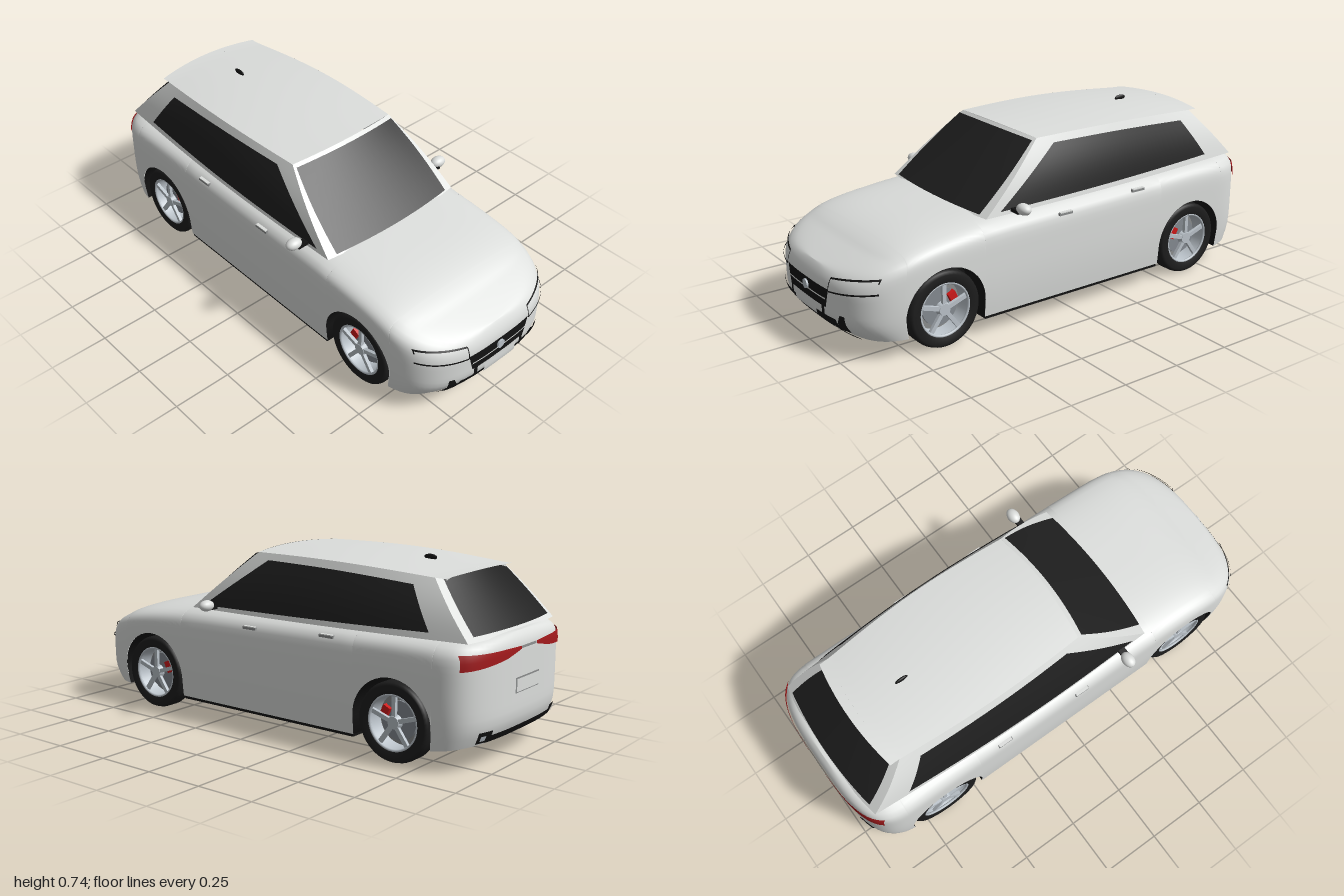
import * as THREE from 'three';
import { mergeVertices } from 'three/addons/utils/BufferGeometryUtils.js';

const mat = (name, color) => new THREE.MeshStandardMaterial({ name, color, side: THREE.DoubleSide });
const M = {
  paint: mat('paint', 0xdcdedc), glass: mat('glass', 0x1f1f1f), trim: mat('blackTrim', 0x131313),
  tyre: mat('tyre', 0x1d1d1d), silver: mat('silver', 0xbcc4cb), disc: mat('brakeDisc', 0x858b92),
  lamp: mat('tailLamp', 0xa31a1c), caliper: mat('caliper', 0xd01a1a), grey: mat('grey', 0x8c8e8e),
};
const { lerp, clamp } = THREE.MathUtils;
const FLOOR = 0.085, END = 0.995, ARCH = 0.176, AXLE_Y = 0.16, FRONT = 0.61, REAR = -0.645;

// Smooth surface from a rule: (u, v) -> [x, y, z]
function grid(fn, nu, nv) {
  const g = new THREE.PlaneGeometry(1, 1, nu, nv), p = g.attributes.position, uv = g.attributes.uv;
  for (let i = 0; i < p.count; i++) p.setXYZ(i, ...fn(uv.getX(i), uv.getY(i)));
  g.deleteAttribute('uv');
  g.deleteAttribute('normal');
  const merged = mergeVertices(g, 1e-5);
  merged.computeVertexNormals();
  return merged;
}

// Lower body: plan half width, centre-line height and width factor of the section
function planWidth(x) {
  if (x > 0.55) return 0.39 * Math.cbrt(Math.max(0, 1 - ((x - 0.55) / (END - 0.55)) ** 4.5));
  if (x < -0.7) return 0.39 * Math.cbrt(Math.max(0, 1 - ((-x - 0.7) / (END - 0.7)) ** 5));
  return 0.39;
}
function topY(x) {
  if (x > 0.35) {
    const d = (x - 0.35) / 0.645;
    return 0.485 - 0.06 * d - 0.09 * d ** 4;
  }
  return 0.485 + 0.022 * Math.min(1, 0.35 - x) - 0.1 * Math.max(0, -x - 0.9);
}
function sectionFactor(x, y) {
  const h = clamp((y - FLOOR) / (topY(x) - FLOOR), 0, 1);
  return Math.cbrt(1 - h ** 18) * (1 - 0.03 * Math.max(0, 1 - h / 0.5) ** 2);
}
const halfWidth = (x, y) => planWidth(x) * sectionFactor(x, y);

// Rake the nose and tail in towards the top and bottom
function rake(x, y) {
  const f = clamp((x - 0.6) / 0.395, 0, 1) ** 2, r = clamp((-x - 0.7) / 0.295, 0, 1) ** 2;
  const nose = 0.05 * clamp((y - 0.26) / 0.1, 0, 1.3) ** 2 + 0.06 * clamp((0.17 - y) / 0.085, 0, 1) ** 2;
  const tail = 0.03 * clamp((y - 0.44) / 0.06, 0, 1.2) ** 2 + 0.035 * clamp((0.2 - y) / 0.1, 0, 1.1) ** 2;
  return x - f * nose + r * tail;
}
// x of the nose (sign 1) or tail (sign -1) at a given z and y
function endX(sign, z, y) {
  let a = 0.3, b = END;
  for (let i = 0; i < 30; i++) {
    const m = (a + b) / 2;
    if (halfWidth(sign * m, y) > Math.abs(z)) a = m; else b = m;
  }
  return rake(sign * a, y);
}

// Stations [x, lower edge] from nose to tail, following the wheel arches
function makeStations() {
  const s = [], n = 16;
  for (let i = 0; i <= n; i++) s.push([0.79 + (END - 0.79) * Math.cos(Math.PI / 2 * i / n), FLOOR]);
  const arch = (cx) => {
    s.push([cx + ARCH, FLOOR]);
    for (let j = 0; j <= 24; j++) {
      const a = Math.PI * j / 24;
      s.push([cx + ARCH * Math.cos(a), AXLE_Y + ARCH * Math.sin(a)]);
    }
    s.push([cx - ARCH, FLOOR]);
  };
  arch(FRONT);
  for (let i = 1; i < 14; i++) s.push([lerp(FRONT - ARCH, REAR + ARCH, i / 14), FLOOR]);
  arch(REAR);
  for (let i = 0; i <= n; i++) {
    const t = Math.sin(Math.PI / 2 * i / n);
    s.push([-0.825 - (END - 0.825) * t, FLOOR + 0.025 * t]);
  }
  return s;
}

// Cabin side: u from rear to front, v from belt to roof, z on the left
function cabinSide(u, v) {
  const s = Math.sin(Math.PI * clamp(u, 0, 1));
  return [
    lerp(lerp(-0.93, 0.40, u), lerp(-0.74, 0.10, u), v),
    lerp(lerp(0.49, 0.47, u), lerp(0.70, 0.722, u) + 0.012 * s, v),
    lerp(lerp(0.325, 0.345, u) + 0.02 * s, lerp(0.25, 0.262, u) + 0.02 * s, v) + 0.01 * Math.sin(Math.PI * v),
  ];
}
function cabinZ(x, y) {
  let u = 0.5, v = 0.5;
  for (let i = 0; i < 8; i++) {
    const r = lerp(-0.93, -0.74, v), f = lerp(0.40, 0.10, v);
    u = clamp((x - r) / (f - r), 0, 1);
    const lo = cabinSide(u, 0)[1], hi = cabinSide(u, 1)[1];
    v = clamp((y - lo) / (hi - lo), 0, 1);
  }
  return cabinSide(u, v)[2];
}
// Screens bow outwards between the two side edges; w runs -1..1 across
function screen(u, w, v, bow, off = 0) {
  const [x, y, z] = cabinSide(u, v);
  return [x + bow * (1 - w * w) + Math.sign(bow) * off, y + off + 0.012 * v * (1 - w * w), z * w];
}
function roof(u, w) {
  const [x, y, z] = cabinSide(u, 1);
  return [x + lerp(-0.025, 0.02, clamp(u, 0, 1)) * (1 - w * w), y + 0.012 * (1 - w * w), z * w];
}
// Bilinear point in a quad of corners: top a, top b, bottom b, bottom a
const quad = (c, u, v) => [0, 1].map((k) => lerp(lerp(c[3][k], c[2][k], u), lerp(c[0][k], c[1][k], u), v));

export function createModel() {
  const car = new THREE.Group();
  car.name = 'car';
  const add = (name, geo, material, x = 0, y = 0, z = 0, parent = car) => {
    const m = new THREE.Mesh(geo, material);
    m.name = name;
    m.position.set(x, y, z);
    parent.add(m);
    return m;
  };
  const box = (w, h, d) => new THREE.BoxGeometry(w, h, d);

  // Body shell and dark underside with wheel wells
  const st = makeStations(), last = st.length - 1;
  add('bodyShell', grid((u, v) => {
    const [x, yb] = st[Math.round(v * last)], s = 1 - 2 * u, q = Math.abs(s), top = topY(x);
    const at = (f) => FLOOR + (top - FLOOR) * (1 - f ** 3) ** (1 / 18);
    let y, f;
    if (q <= 0.5) { f = q / 0.5 * 0.85; y = at(f); }
    else { y = lerp(at(0.85), yb, (q * 2 - 1) ** 1.3); f = sectionFactor(x, y); }
    return [rake(x, y), y, Math.sign(s) * f * planWidth(x)];
  }, 56, last), M.paint);
  add('underside', grid((u, v) => {
    const [x, yb] = st[Math.round(v * last)];
    return [rake(x, yb), yb, (2 * u - 1) * halfWidth(x, yb) * 0.995];
  }, 4, last), M.trim);
  add('chassis', box(1.68, 0.24, 0.55), M.trim, 0, 0.2, 0);
  add('sills', box(0.895, 0.018, 0.75), M.trim, -0.018, 0.082, 0);

  // Cabin
  for (const s of [1, -1]) {
    add('cabinSide', grid((u, v) => { const p = cabinSide(u, v); p[2] *= s; return p; }, 28, 8), M.paint);
    const pane = [[-0.665, 0.672], [0.03, 0.697], [0.335, 0.487], [-0.77, 0.513]];
    add('sideWindow', grid((u, v) => {
      const [x, y0] = quad(pane, u, v), y = y0 + 0.008 * v * Math.sin(Math.PI * u);
      return [x, y, s * (cabinZ(x, y) + 0.004)];
    }, 28, 8), M.glass);
  }
  add('roof', grid((u, v) => roof(lerp(-0.05, 1, u), 1 - 2 * v), 24, 16), M.paint);
  add('spoiler', box(0.06, 0.014, 0.44), M.paint, -0.74, 0.692, 0);
  add('windscreenFrame', grid((u, v) => screen(1, 1 - 2 * u, v, 0.025), 16, 8), M.paint);
  add('windscreen', grid((u, v) => {
    const k = lerp(0.02, 0.955, v);
    return screen(1, (1 - 2 * u) * lerp(0.88, 0.97, k), k, 0.025, 0.004);
  }, 16, 8), M.glass);
  add('tailgateFrame', grid((u, v) => screen(0, 2 * u - 1, v, -0.03), 16, 8), M.paint);
  add('rearWindow', grid((u, v) => screen(0, (2 * u - 1) * 0.88, lerp(0.07, 0.97, v), -0.03, 0.004), 16, 8), M.glass);
  const fin = add('antenna', new THREE.SphereGeometry(1, 12, 8), M.trim, -0.56, 0.732, 0);
  fin.scale.set(0.03, 0.012, 0.007);

  // Thin panels that follow the nose or tail; corners are [z, y]
  const panel = (name, material, sign, c, off = 0.005) => add(name, grid((u, v) => {
    const [z, y] = quad(c, u, v);
    return [endX(sign, z, y) + sign * off, y, z];
  }, 18, 4), material);
  const rect = (z0, z1, y0, y1) => [[z1, y1], [z0, y1], [z0, y0], [z1, y0]];

  // Nose
  panel('grille', M.trim, 1, [[0.167, 0.27], [-0.167, 0.27], [-0.145, 0.192], [0.145, 0.192]]);
  panel('grilleBar', M.paint, 1, rect(-0.15, 0.15, 0.225, 0.231), 0.008);
  panel('lowerIntake', M.trim, 1, [[0.2, 0.16], [-0.2, 0.16], [-0.21, 0.11], [0.21, 0.11]]);
  panel('frontLip', M.trim, 1, [[0.2, 0.113], [-0.2, 0.113], [-0.27, 0.083], [0.27, 0.083]], 0.007);
  panel('frontPlate', M.paint, 1, rect(-0.088, 0.088, 0.148, 0.196), 0.012);
  const badge = add('roundBadge', new THREE.CylinderGeometry(0.019, 0.019, 0.008, 24), M.silver, endX(1, 0, 0.24) + 0.008, 0.24, 0);
  badge.rotation.z = Math.PI / 2;

  // Tail
  panel('rearPlateFrame', M.grey, -1, rect(-0.09, 0.09, 0.272, 0.332));
  panel('rearPlate', M.paint, -1, rect(-0.085, 0.085, 0.277, 0.327), 0.008);
  panel('rearDiffuser', M.trim, -1, rect(-0.24, 0.24, 0.112, 0.14));
  panel('tailStrip', M.grey, -1, rect(-0.06, 0.06, 0.438, 0.448));

  for (const s of [1, -1]) {
    const side = (c) => c.map(([z, y]) => [z * s, y]);
    panel('headlampTopLine', M.trim, 1, side([[0.352, 0.344], [0.17, 0.318], [0.17, 0.312], [0.352, 0.337]]), 0.008);
    panel('headlampLowerLine', M.trim, 1, side([[0.355, 0.29], [0.17, 0.268], [0.17, 0.262], [0.355, 0.283]]), 0.008);
    panel('headlampInnerLine', M.trim, 1, side(rect(0.167, 0.171, 0.264, 0.316)), 0.008);
    panel('headlampOuterLine', M.trim, 1, side(rect(0.349, 0.352, 0.325, 0.34)), 0.008);
    panel('grilleTab', M.trim, 1, side(rect(0.12, 0.138, 0.145, 0.222)), 0.007);
    panel('airVent', M.trim, 1, side([[0.25, 0.184], [0.228, 0.184], [0.2, 0.115], [0.257, 0.115]]), 0.008);
    panel('tailLamp', M.lamp, -1, side([[0.358, 0.452], [0.16, 0.452], [0.16, 0.415], [0.362, 0.392]]), 0.007);
    panel('tailLampTip', M.lamp, -1, side([[0.16, 0.452], [0.06, 0.449], [0.06, 0.437], [0.16, 0.415]]), 0.007);
    panel('rearVent', M.trim, -1, side(rect(0.22, 0.29, 0.115, 0.16)), 0.006);
    panel('rearReflector', M.silver, -1, side(rect(0.255, 0.28, 0.125, 0.145)), 0.01);

    // Mirrors and door handles
    const mirror = add('doorMirror', new THREE.SphereGeometry(1, 20, 14), M.paint, 0.265, 0.5, s * 0.403);
    mirror.scale.set(0.026, 0.023, 0.036);
    add('mirrorStalk', box(0.03, 0.014, 0.06), M.trim, 0.272, 0.487, s * 0.365);
    for (const [x, y] of [[-0.34, 0.45], [0.045, 0.432]]) {
      add('doorHandle', box(0.066, 0.011, 0.012), M.grey, x, y, s * (halfWidth(x, y) + 0.003));
      add('handleCap', box(0.06, 0.004, 0.014), M.paint, x, y + 0.006, s * (halfWidth(x, y) + 0.003));
    }

    // Wheels
    for (const [x, c] of [[FRONT, -1], [REAR, 1]]) {
      const w = new THREE.Group();
      w.name = x > 0 ? 'frontWheel' : 'rearWheel';
      w.position.set(x, AXLE_Y, s * 0.333);
      if (s < 0) w.rotation.y = Math.PI;
      car.add(w);
      const turned = (name, geo, m, z) => { add(name, geo, m, 0, 0, z, w).rotation.x = Math.PI / 2; };
      const tread = [[0.108, -0.043], [0.143, -0.045], [0.153, -0.038], [0.157, -0.025], [0.157, 0.025],
        [0.153, 0.038], [0.143, 0.045], [0.112, 0.043], [0.108, 0.035]];
      turned('tyre', new THREE.LatheGeometry(tread.map((p) => new THREE.Vector2(...p)), 48), M.tyre, 0);
      turned('rimBarrel', new THREE.CylinderGeometry(0.109, 0.1, 0.07, 40, 1, true), M.silver, 0.003);
      turned('wheelBack', new THREE.CylinderGeometry(0.107, 0.107, 0.006, 40), M.grey, -0.03);
      turned('brakeDisc', new THREE.CylinderGeometry(0.078, 0.078, 0.008, 32), M.disc, -0.005);
      turned('hub', new THREE.CylinderGeometry(0.024, 0.03, 0.022, 24), M.silver, 0.027);
      add('rimLip', new THREE.TorusGeometry(0.108, 0.006, 8, 48), M.silver, 0, 0, 0.036, w);
      const cal = add('brakeCaliper', box(0.032, 0.05, 0.02), M.caliper, c * s * 0.055, 0.028, 0.006, w);
      cal.rotation.z = c * s * 0.45;
      for (let i = 0; i < 5; i++) {
        const a = Math.PI / 2 + i * Math.PI * 2 / 5;
        const spoke = add('spoke', box(0.092, 0.017, 0.014), M.silver, 0.064 * Math.cos(a), 0.064 * Math.sin(a), 0.029, w);
        spoke.rotation.z = a;
      }
    }
  }
  return car;
}
